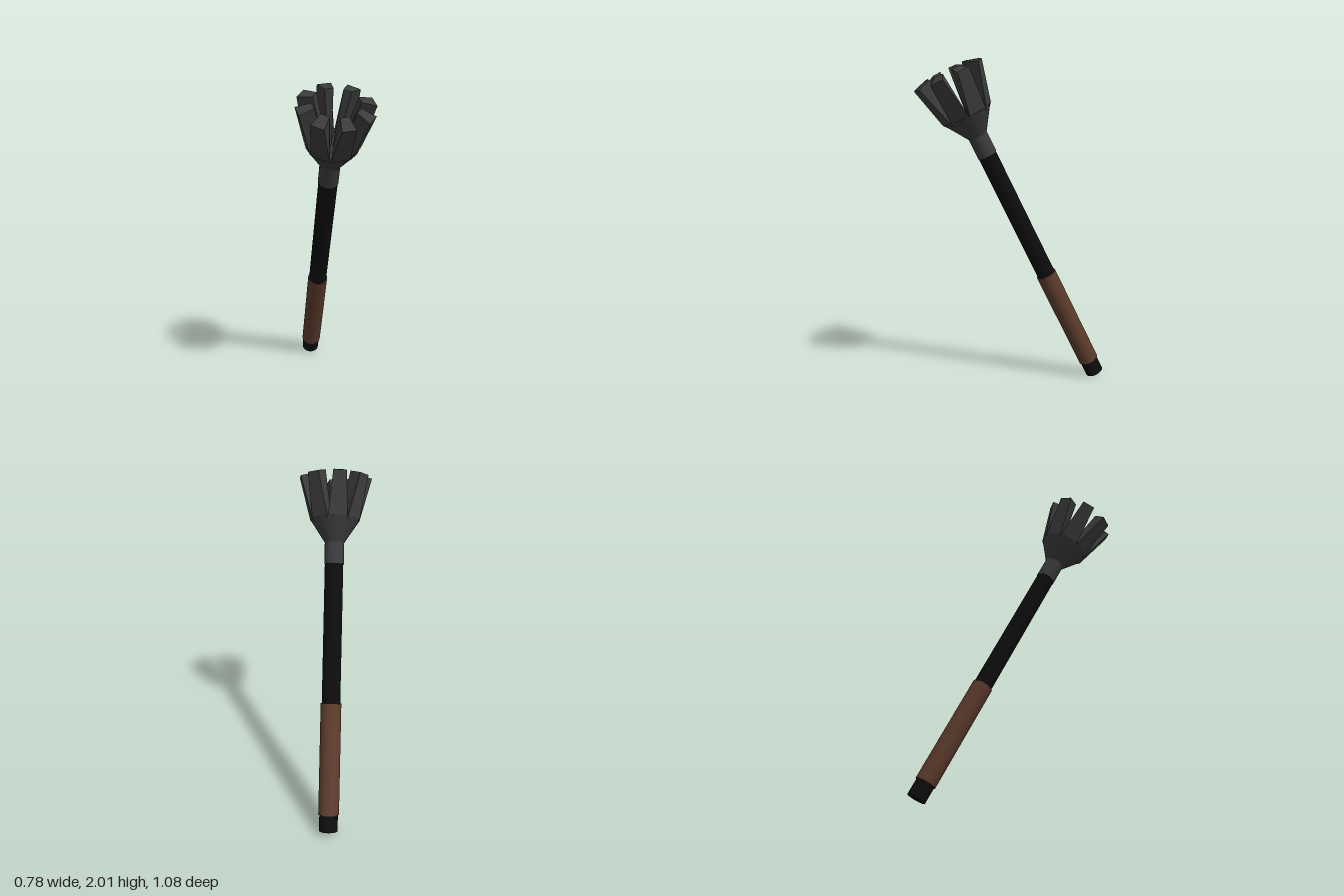
import * as THREE from 'three';

const iron = new THREE.MeshStandardMaterial({ color: 0x3b3b3b });
iron.name = 'dark iron';
const black = new THREE.MeshStandardMaterial({ color: 0x0d0d0d });
black.name = 'black shaft';
const leather = new THREE.MeshStandardMaterial({ color: 0x5c3b2c });
leather.name = 'brown leather';

// Cylinder spanning y0..y1 along the weapon's own axis
function rod(name, radius, y0, y1, material) {
  const geometry = new THREE.CylinderGeometry(radius, radius, y1 - y0, 32);
  geometry.translate(0, (y0 + y1) / 2, 0);
  const mesh = new THREE.Mesh(geometry, material);
  mesh.name = name;
  return mesh;
}

// Smooth spun part from [radius, height] pairs
function spun(name, profile, material) {
  const points = profile.map(([r, y]) => new THREE.Vector2(r, y));
  const mesh = new THREE.Mesh(new THREE.LatheGeometry(points, 32), material);
  mesh.name = name;
  return mesh;
}

// Tapered prong pointing out along +x, made of stacked trapezoid sections
function prongGeometry() {
  // [inner height, outer height, inner radius, inner half width, outer radius, outer half width]
  const sections = [
    [1.82, 1.82, 0.03, 0.008, 0.1, 0.035],
    [1.87, 1.875, 0.045, 0.012, 0.145, 0.057],
    [2.15, 2.125, 0.13, 0.025, 0.215, 0.04],
  ];
  const positions = [];
  for (const [yi, yo, ri, wi, ro, wo] of sections) {
    positions.push(ri, yi, -wi, ri, yi, wi, ro, yo, wo, ro, yo, -wo);
  }
  const index = [];
  const quad = (a, b, c, d) => index.push(a, b, c, a, c, d);
  for (let s = 0; s < sections.length - 1; s++) {
    for (let i = 0; i < 4; i++) {
      const a = s * 4 + i, b = s * 4 + (i + 1) % 4;
      quad(a, b, b + 4, a + 4);
    }
  }
  const top = (sections.length - 1) * 4;
  quad(top, top + 1, top + 2, top + 3);
  quad(3, 2, 1, 0);
  const geometry = new THREE.BufferGeometry();
  geometry.setAttribute('position', new THREE.Float32BufferAttribute(positions, 3));
  geometry.setIndex(index);
  const flat = geometry.toNonIndexed();
  flat.computeVertexNormals();
  return flat;
}

export function createModel() {
  const model = new THREE.Group();
  model.name = 'mace';

  // Everything is built upright, then leaned over
  const mace = new THREE.Group();
  mace.name = 'leaningMace';
  mace.position.set(0.33, 0.026, -0.485);
  mace.quaternion.setFromUnitVectors(
    new THREE.Vector3(0, 1, 0),
    new THREE.Vector3(-0.271, 1, 0.439).normalize(),
  );
  model.add(mace);

  // Handle
  mace.add(rod('pommel', 0.056, 0, 0.11, black));
  mace.add(rod('grip', 0.0625, 0.1, 0.765, leather));
  mace.add(rod('shaft', 0.056, 0.76, 1.62, black));

  // Head: collar, flared cup with a shallow bowl inside
  mace.add(rod('collar', 0.059, 1.605, 1.74, iron));
  mace.add(spun('cup', [[0.059, 1.735], [0.085, 1.775], [0.151, 1.875]], iron));
  mace.add(spun('bowl', [[0.151, 1.875], [0.13, 1.88], [0, 1.82]], iron));

  // Ring of eight prongs
  const prongs = new THREE.Group();
  prongs.name = 'prongs';
  const geometry = prongGeometry();
  for (let i = 0; i < 8; i++) {
    const prong = new THREE.Mesh(geometry, iron);
    prong.name = 'prong';
    prong.rotation.y = (i + 0.5) * Math.PI / 4;
    prongs.add(prong);
  }
  mace.add(prongs);

  return model;
}
